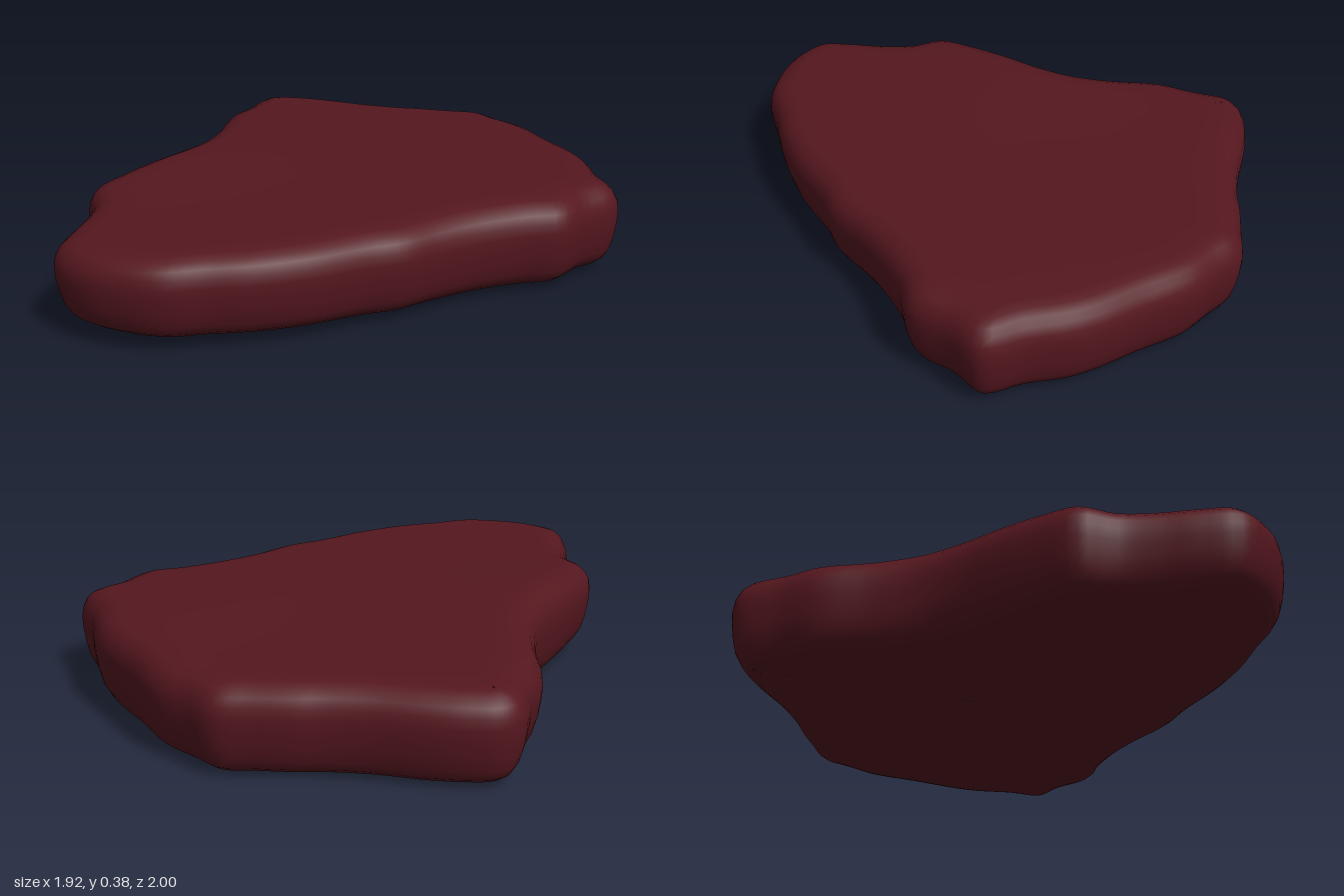
import * as THREE from 'three';

// Slab outline seen from above as [x, z], clockwise from the back left corner
const OUTLINE = [
  [-0.67, -0.96], [-0.56, -0.98], [-0.44, -0.98], [-0.25, -0.965], [-0.1, -0.97], [0.0, -0.985],
  [0.14, -0.995], [0.27, -1.0], [0.38, -0.93], [0.5, -0.85], [0.63, -0.7], [0.75, -0.57],
  [0.82, -0.47], [0.88, -0.33], [0.96, -0.18], [0.87, -0.04], [0.8, 0.1], [0.67, 0.17],
  [0.52, 0.28], [0.41, 0.39], [0.31, 0.51], [0.2, 0.59], [0.03, 0.74], [-0.14, 0.85],
  [-0.27, 0.91], [-0.41, 0.98], [-0.56, 0.995], [-0.72, 0.97], [-0.85, 0.885], [-0.875, 0.75],
  [-0.88, 0.62], [-0.9, 0.49], [-0.965, 0.365], [-0.92, 0.2], [-0.86, 0.05], [-0.8, -0.09],
  [-0.765, -0.23], [-0.765, -0.4], [-0.79, -0.6], [-0.76, -0.75], [-0.735, -0.9],
];

// Edge profile from the underside to the top face: [inset, height fraction]
const EDGE = [
  [0.15, 0], [0.11, 0.012], [0.075, 0.045], [0.045, 0.11], [0.024, 0.22], [0.01, 0.38], [0.002, 0.55],
  [0, 0.68], [0.006, 0.79], [0.022, 0.88], [0.045, 0.945], [0.08, 0.985], [0.12, 1],
];
const CENTRE = [-0.12, 0];
const SEGMENTS = 164;

const bump = (x, z, cx, cz, r) => Math.exp(-((x - cx) ** 2 + (z - cz) ** 2) / (r * r));

// Gently uneven underside and top
const bottomY = (x, z) =>
  0.008 + 0.045 * Math.max(0, (z + 0.25) / 1.25) ** 1.4 + 0.02 * Math.max(0, Math.abs(x) - 0.4);
const topY = (x, z) =>
  0.362 + 0.024 * bump(x, z, -0.7, 0.05, 0.38) + 0.008 * bump(x, z, 0.6, -0.1, 0.4)
  - 0.012 * Math.max(0, -z - 0.4) + 0.003 * Math.sin(5 * x + 3 * z);

function slabGeometry() {
  const curve = new THREE.CatmullRomCurve3(
    OUTLINE.map(([x, z]) => new THREE.Vector3(x, 0, z)), true, 'centripetal');
  const rim = [];
  for (let i = 0; i < SEGMENTS; i++) {
    const p = curve.getPoint(i / SEGMENTS);
    // Direction averaged over a short span keeps the inset rings even
    const t = curve.getPoint(((i + 4) / SEGMENTS) % 1)
      .sub(curve.getPoint(((i - 4 + SEGMENTS) / SEGMENTS) % 1)).normalize();
    rim.push({ x: p.x, z: p.z, nx: t.z, nz: -t.x });
  }

  // Rings: out across the underside, up the edge, back in across the top
  const spread = [0, 0.2, 0.4, 0.6, 0.8, 0.92];
  const rings = [
    ...spread.map((s) => [EDGE[0][0], 0, s]),
    ...EDGE.map(([inset, h]) => [inset, h, 1]),
    ...spread.slice().reverse().map((s) => [EDGE[EDGE.length - 1][0], 1, s]),
  ];
  const positions = [];
  const index = [];
  rings.forEach(([inset, h, s], j) => {
    rim.forEach((p, i) => {
      const x = CENTRE[0] + (p.x - p.nx * inset - CENTRE[0]) * s;
      const z = CENTRE[1] + (p.z - p.nz * inset - CENTRE[1]) * s;
      positions.push(x, THREE.MathUtils.lerp(bottomY(x, z), topY(x, z), h), z);
      if (j === rings.length - 1) return;
      const a = j * SEGMENTS + i;
      const b = j * SEGMENTS + ((i + 1) % SEGMENTS);
      const c = a + SEGMENTS;
      const d = b + SEGMENTS;
      if (j > 0) index.push(a, c, b);
      else index.push(a, c, d);
      if (j > 0 && j < rings.length - 2) index.push(b, c, d);
    });
  });

  const geometry = new THREE.BufferGeometry();
  geometry.setAttribute('position', new THREE.Float32BufferAttribute(positions, 3));
  geometry.setIndex(index);
  geometry.computeVertexNormals();
  return geometry;
}

export function createModel() {
  const group = new THREE.Group();
  group.name = 'slab';
  const body = new THREE.Mesh(slabGeometry(), new THREE.MeshStandardMaterial({ color: 0x55171f }));
  body.name = 'slabBody';
  group.add(body);
  return group;
}
